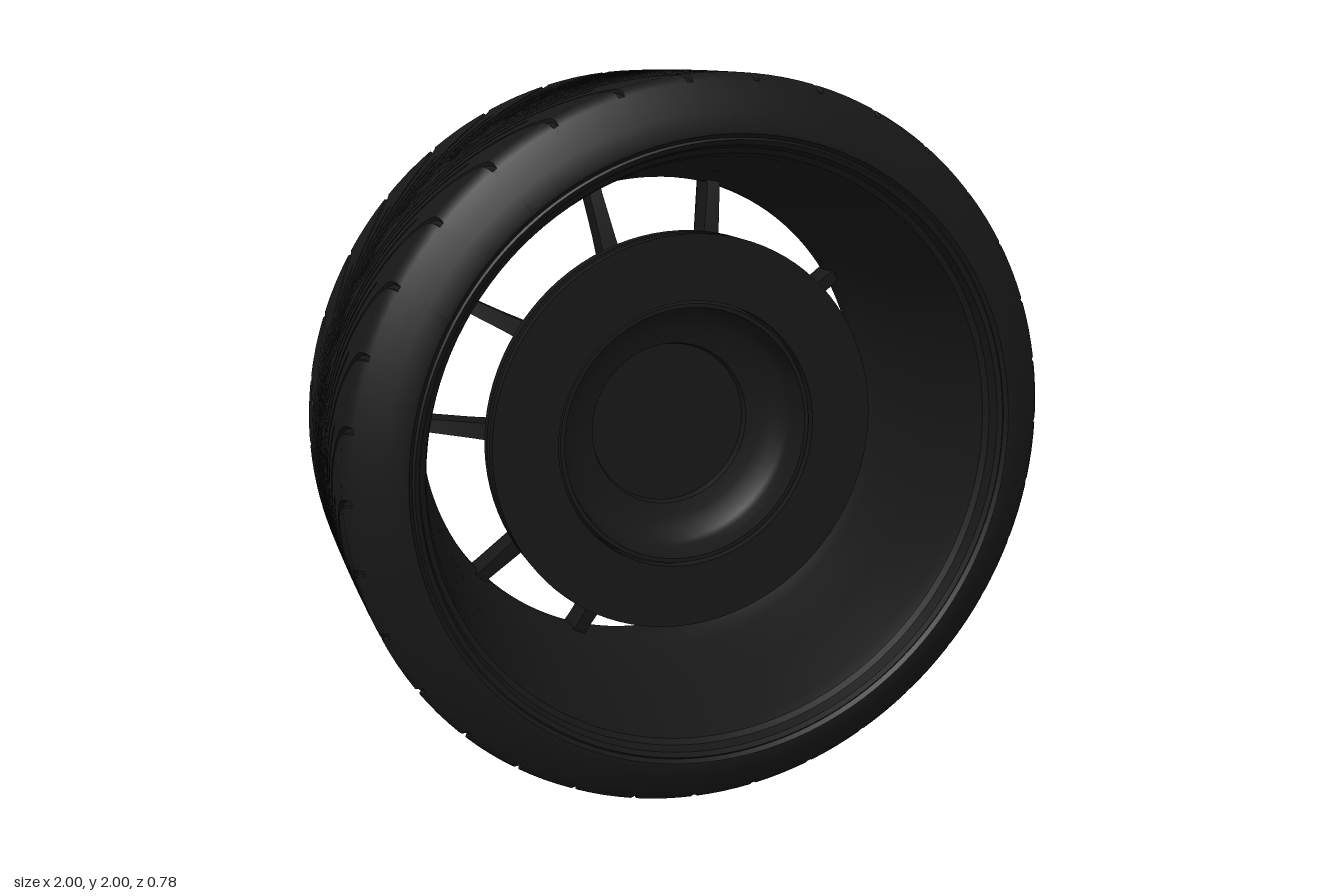
import * as THREE from 'three';
import { toCreasedNormals } from 'three/addons/utils/BufferGeometryUtils.js';

const rubber = new THREE.MeshStandardMaterial({ color: 0x171717 });
const metal = new THREE.MeshStandardMaterial({ color: 0x171717 });
const TAU = Math.PI * 2;

function add(parent, name, geometry, material = metal) {
  const mesh = new THREE.Mesh(geometry, material);
  mesh.name = name;
  parent.add(mesh);
  return mesh;
}

// Revolve a [radius, z] profile around the z axis (outside runs towards +z)
function revolve(profile, segments = 96, crease = 0.5) {
  const points = profile.map(([r, z]) => new THREE.Vector2(r, z));
  const geometry = new THREE.LatheGeometry(points, segments).rotateX(Math.PI / 2);
  return toCreasedNormals(geometry, crease);
}

function buildMesh(positions, index, crease) {
  const geometry = new THREE.BufferGeometry();
  geometry.setAttribute('position', new THREE.Float32BufferAttribute(positions, 3));
  geometry.setIndex(index);
  return toCreasedNormals(geometry, crease);
}

// Tyre skin: a grid sheared along the swept tread grooves
function tyreGeometry() {
  const half = [];
  for (let i = 0; i <= 15; i++) half.push([i * 0.02, 1 - 0.003 * (i / 15) ** 2]);
  half.push([0.318, 0.99], [0.331, 0.978], [0.35, 0.945], [0.37, 0.905], [0.388, 0.86], [0.388, 0.85], [0.368, 0.83]);
  const rows = [...half.slice(1).reverse().map(([z, r]) => [-z, r]), ...half];

  // One tread pitch: [fraction, groove kind], 1 = long groove, 2 = short groove
  const pitch = [[0, 0], [0.02, 1], [0.08, 1], [0.1, 0], [0.3, 0], [0.5, 0], [0.52, 2], [0.56, 2], [0.58, 0], [0.8, 0]];
  const count = 34, cols = count * pitch.length;
  const positions = [], index = [];
  for (const [z, r] of rows) {
    const a = Math.abs(z);
    const sweep = 0.6 * (1 - Math.min(a / 0.34, 1)) ** 2.2;
    for (let i = 0; i < cols; i++) {
      const [t, kind] = pitch[i % pitch.length];
      const cut = (kind === 1 && a > 0.015 && a < 0.325) || (kind === 2 && a > 0.03 && a < 0.17);
      const angle = ((Math.floor(i / pitch.length) + t) / count) * TAU + sweep;
      const radius = cut ? r - 0.009 : r;
      positions.push(radius * Math.cos(angle), radius * Math.sin(angle), z);
    }
  }
  for (let j = 0; j < rows.length - 1; j++) {
    for (let i = 0; i < cols; i++) {
      const n = (i + 1) % cols;
      const a = j * cols + i, b = j * cols + n, c = b + cols, d = a + cols;
      index.push(a, b, c, a, c, d);
    }
  }
  return buildMesh(positions, index, 0.5);
}

// Spoke running along +x, splaying to one side, with a bevelled outer face
function spokeGeometry(side) {
  // [radius, half width, front z, back z]
  const stations = [
    [0.16, 0.07, -0.09, -0.155], [0.24, 0.062, -0.095, -0.165], [0.32, 0.045, -0.1, -0.18],
    [0.42, 0.031, -0.115, -0.205], [0.54, 0.023, -0.145, -0.245], [0.66, 0.019, -0.18, -0.285],
    [0.69, 0.021, -0.195, -0.295], [0.73, 0.02, -0.21, -0.308], [0.785, 0.012, -0.25, -0.32],
  ];
  const positions = [], index = [], n = 6;
  stations.forEach(([r, w, front, back], s) => {
    const y = side * (0.098 + (r - 0.2) * 0.178);
    const mid = back + (front - back) * 0.25;
    const ring = [[w, mid], [w, front], [-w, front], [-w, mid], [-w * 0.6, back], [w * 0.6, back]];
    for (const [dy, z] of ring) positions.push(r, y + dy, z);
    if (s === 0) return;
    for (let k = 0; k < n; k++) {
      const a = (s - 1) * n + k, b = (s - 1) * n + ((k + 1) % n);
      index.push(a, b, b + n, a, b + n, a + n);
    }
  });
  const tip = (stations.length - 1) * n;
  for (let k = 1; k < n - 1; k++) index.push(tip, tip + k, tip + k + 1);
  return buildMesh(positions, index, 0.4);
}

// Five-lobed hub plate; lobes web together neighbouring spoke pairs
function hubGeometry() {
  const outline = [];
  for (let i = 0; i < 100; i++) {
    const a = (i / 100) * TAU;
    const r = 0.275 + 0.045 * Math.cos(5 * (a + Math.PI / 2));
    outline.push(new THREE.Vector2(r * Math.cos(a), r * Math.sin(a)));
  }
  const geometry = new THREE.ExtrudeGeometry(new THREE.Shape(outline), {
    depth: 0.045, bevelEnabled: true, bevelThickness: 0.012, bevelSize: 0.012, bevelSegments: 3,
  });
  return toCreasedNormals(geometry.translate(0, 0, -0.15), 0.5);
}

export function createModel() {
  const model = new THREE.Group();
  model.name = 'wheel';
  const wheel = new THREE.Group();
  wheel.name = 'wheelAssembly';
  wheel.position.y = 1;
  model.add(wheel);

  add(wheel, 'tyre', tyreGeometry(), rubber);

  // Rim barrel with flanges on both sides
  add(wheel, 'rim', revolve([
    [0.845, -0.375], [0.84, -0.34], [0.81, -0.33], [0.77, -0.22], [0.77, 0.05], [0.81, 0.33], [0.84, 0.34],
    [0.845, 0.375], [0.835, 0.382], [0.822, 0.375], [0.815, 0.345], [0.8, 0.335], [0.79, 0.3], [0.765, 0.1],
    [0.735, -0.1], [0.715, -0.18], [0.7, -0.21], [0.7, -0.255], [0.71, -0.265], [0.745, -0.27], [0.755, -0.285],
    [0.79, -0.31], [0.808, -0.335], [0.82, -0.372], [0.832, -0.382], [0.845, -0.375],
  ], 128));

  // Five pairs of spokes
  const spokes = new THREE.Group();
  spokes.name = 'spokes';
  wheel.add(spokes);
  const sides = [-1, 1].map(spokeGeometry);
  for (let i = 0; i < 5; i++) {
    for (const geometry of sides) {
      add(spokes, 'spoke', geometry).rotation.z = Math.PI / 2 + (i / 5) * TAU;
    }
  }

  // Hub plate, centre cap and wheel bolts on the outer (-z) side
  add(wheel, 'hub', hubGeometry());
  add(wheel, 'centreCap', revolve([
    [0, -0.168], [0.092, -0.168], [0.097, -0.163], [0.102, -0.169], [0.11, -0.169], [0.114, -0.164], [0.114, -0.14],
  ], 48));
  const boltGeometry = new THREE.CylinderGeometry(0.022, 0.022, 0.03, 6).rotateX(Math.PI / 2);
  const seatGeometry = new THREE.TorusGeometry(0.034, 0.006, 8, 24);
  for (let i = 0; i < 5; i++) {
    const a = -Math.PI / 2 + (i / 5) * TAU;
    const x = 0.185 * Math.cos(a), y = 0.185 * Math.sin(a);
    add(wheel, 'wheelBolt', boltGeometry).position.set(x, y, -0.16);
    add(wheel, 'boltSeat', seatGeometry).position.set(x, y, -0.162);
  }

  // Tyre valve
  const valve = add(wheel, 'valve', new THREE.CylinderGeometry(0.014, 0.018, 0.05, 16).rotateX(-Math.PI / 2));
  const valveAngle = (-54 * Math.PI) / 180;
  valve.position.set(0.725 * Math.cos(valveAngle), 0.725 * Math.sin(valveAngle), -0.28);

  // Vented brake disc: front plate, then back plate joined to the hollow bell
  const disc = new THREE.Group();
  disc.name = 'brakeDisc';
  wheel.add(disc);
  add(disc, 'frontPlate', revolve([[0.385, 0.055], [0.57, 0.055], [0.57, 0.085], [0.385, 0.085], [0.385, 0.055]]));
  add(disc, 'backPlateAndBell', revolve([
    [0, -0.1], [0.27, -0.1], [0.325, -0.08], [0.36, -0.04], [0.372, 0], [0.57, 0], [0.57, 0.03], [0.385, 0.03],
    [0.377, 0.075], [0.365, 0.075], [0.36, 0.04], [0.355, 0], [0.345, -0.02], [0.32, -0.04], [0.28, -0.055],
    [0.24, -0.065], [0.235, -0.085], [0, -0.085],
  ]));
  const vaneGeometry = new THREE.BoxGeometry(0.16, 0.012, 0.028);
  for (let i = 0; i < 48; i++) {
    const a = (i / 48) * TAU;
    const vane = add(disc, 'vane', vaneGeometry);
    vane.position.set(0.48 * Math.cos(a), 0.48 * Math.sin(a), 0.0425);
    vane.rotation.z = a;
  }
  return model;
}
